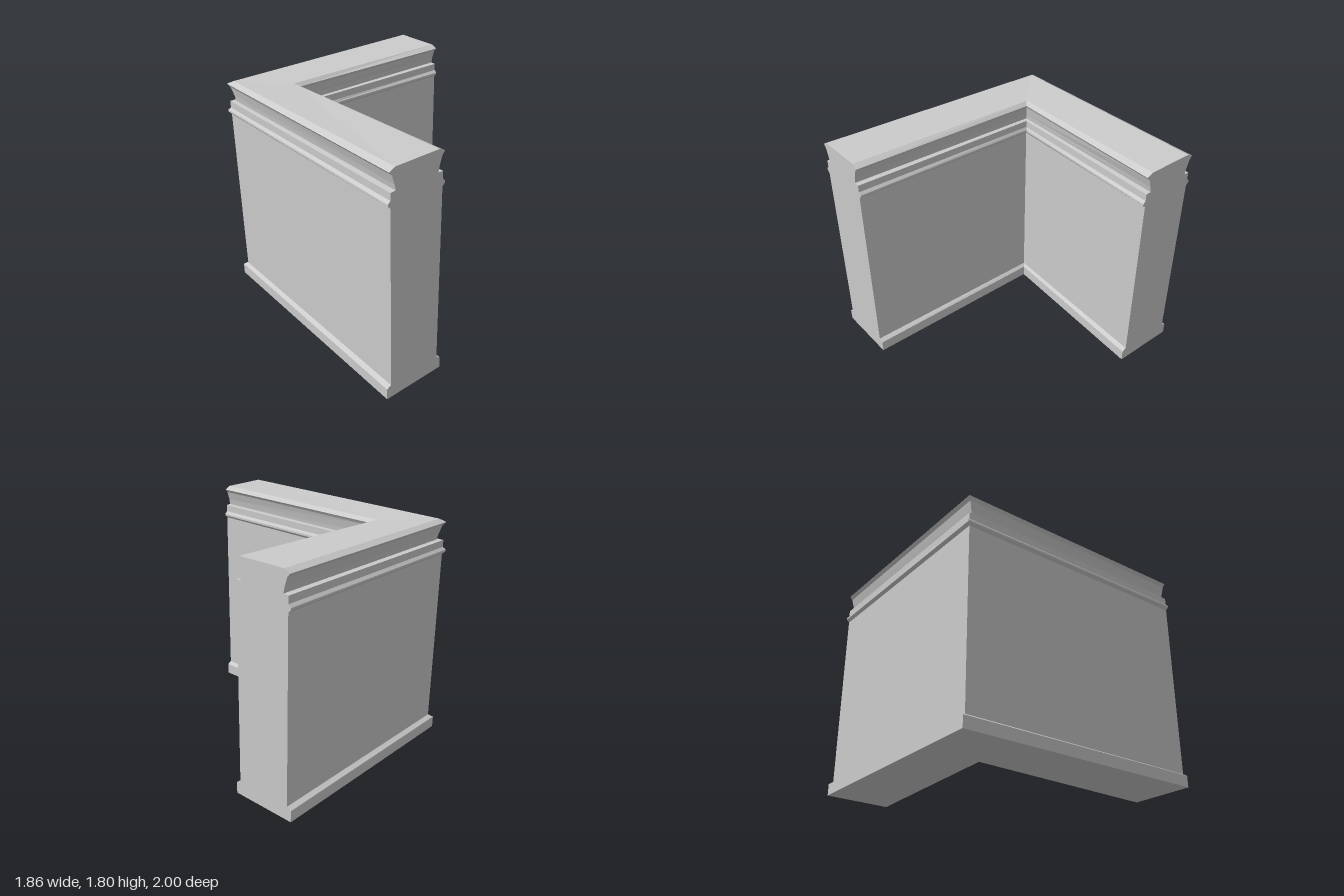
import * as THREE from 'three';

// Moulding profile, the same on both faces: [inset from the plinth face, height]
const profile = [
  [0, 0], [0, 0.09], [0.035, 0.11],                                   // plinth
  [0.035, 1.525],                                                     // wall face
  [0.013, 1.545], [0.013, 1.56], [0.033, 1.58],                       // bead
  [0.033, 1.635], [0.075, 1.638],                                     // ledge
  [0.067, 1.68], [0.045, 1.75], [0.023, 1.775], [0.07, 1.8],          // cornice
];

// Stations along the wall: plinth corner (x, z), inset direction, and drop of the upper mouldings
const stations = [
  { outer: [-0.93, 1, 1, 0, 0], inner: [-0.42, 1, -1, 0, 0] },                          // front end
  { outer: [-0.855, -1, 0.75, 0.95, 0.02], inner: [-0.425, -0.555, -0.72, -0.6, 0.025] }, // mitred corner
  { outer: [0.925, -0.985, 0, 1, 0], inner: [0.925, -0.47, 0, -1, 0] },                 // side end
];

function point(station, side, k) {
  const [x, z, dx, dz, drop] = stations[station][side];
  const [inset, y] = profile[k];
  return [x + dx * inset, y > 1 ? y - drop : y, z + dz * inset];
}

// One horizontal course of the wall, covering profile points k0 to k1
function course(name, k0, k1) {
  const pos = [];
  const quad = (a, b, c, d) => pos.push(...a, ...b, ...c, ...a, ...c, ...d);
  const last = stations.length - 1;
  for (let s = 0; s < last; s++) {
    const O = (t, k) => point(t, 'outer', k);
    const I = (t, k) => point(t, 'inner', k);
    for (let k = k0; k < k1; k++) {
      quad(O(s, k), O(s, k + 1), O(s + 1, k + 1), O(s + 1, k));
      quad(I(s, k), I(s + 1, k), I(s + 1, k + 1), I(s, k + 1));
    }
    // underside and top surface
    if (k0 === 0) quad(O(s, 0), O(s + 1, 0), I(s + 1, 0), I(s, 0));
    if (k1 === profile.length - 1) quad(O(s, k1), I(s, k1), I(s + 1, k1), O(s + 1, k1));
  }
  // flat cut ends
  for (let k = k0; k < k1; k++) {
    quad(point(0, 'outer', k), point(0, 'inner', k), point(0, 'inner', k + 1), point(0, 'outer', k + 1));
    quad(point(last, 'inner', k), point(last, 'outer', k), point(last, 'outer', k + 1), point(last, 'inner', k + 1));
  }
  const geometry = new THREE.BufferGeometry();
  geometry.setAttribute('position', new THREE.Float32BufferAttribute(pos, 3));
  geometry.computeVertexNormals();
  const mesh = new THREE.Mesh(geometry, new THREE.MeshStandardMaterial({ color: 0xcccccc, flatShading: true }));
  mesh.name = name;
  return mesh;
}

export function createModel() {
  const group = new THREE.Group();
  group.name = 'cornerWall';
  group.add(
    course('plinth', 0, 2),
    course('wallBody', 2, 3),
    course('beadMoulding', 3, 6),
    course('ledge', 6, 8),
    course('cornice', 8, profile.length - 1),
  );
  return group;
}
